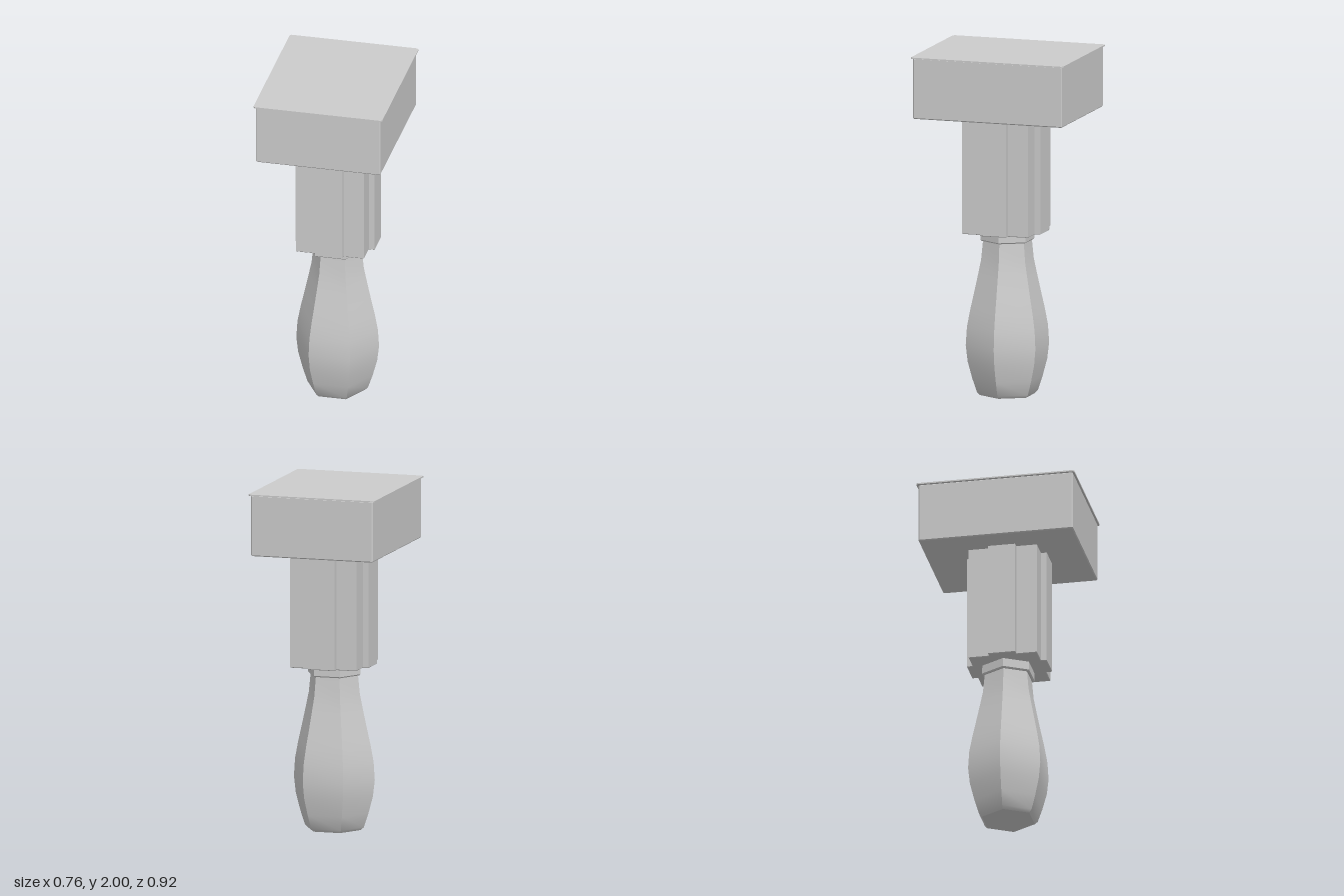
import * as THREE from 'three';
import { toCreasedNormals } from 'three/addons/utils/BufferGeometryUtils.js';

const material = new THREE.MeshStandardMaterial({ color: 0xcccccc });

function addPart(group, name, geometry, x = 0, y = 0, z = 0) {
  const mesh = new THREE.Mesh(geometry, material);
  mesh.name = name;
  mesh.position.set(x, y, z);
  group.add(mesh);
}

// Upright prism from y = 0 to height, with small chamfers at both ends
function prism(points, height, bevel) {
  const geometry = new THREE.ExtrudeGeometry(new THREE.Shape(points), {
    depth: height - 2 * bevel, bevelEnabled: bevel > 0, bevelSegments: 1,
    bevelSize: bevel, bevelThickness: bevel, bevelOffset: -bevel,
  });
  return geometry.translate(0, 0, bevel).rotateX(-Math.PI / 2);
}

// Rectangle with cut corners, given by half sizes
function cutRectangle(w, d, c) {
  return [
    [w, c - d], [w, d - c], [w - c, d], [c - w, d],
    [-w, d - c], [-w, c - d], [c - w, -d], [w - c, -d],
  ].map(([x, y]) => new THREE.Vector2(x, y));
}

// Square outline with a wide rib on each side
function ribbedSquare(half, ribHalf, outer) {
  const side = [[half, -half], [half, -ribHalf], [outer, -ribHalf], [outer, ribHalf], [half, ribHalf]];
  const points = [];
  for (let i = 0; i < 4; i++) {
    for (const [x, y] of side) {
      points.push(new THREE.Vector2(x, y).rotateAround(new THREE.Vector2(), i * Math.PI / 2));
    }
  }
  return points;
}

// Six-sided turned form with corners on the x axis
function hexLathe(profile) {
  const points = profile.map(([r, y]) => new THREE.Vector2(r, y));
  return toCreasedNormals(new THREE.LatheGeometry(points, 6, Math.PI / 2), 0.6);
}

export function createModel() {
  const group = new THREE.Group();
  group.name = 'hammer';

  // Head block with a thin flared lip on top
  addPart(group, 'head', prism(cutRectangle(0.367, 0.452, 0.006), 0.355, 0.006), 0, 1.64);
  addPart(group, 'headLip', prism(cutRectangle(0.38, 0.462, 0.01), 0.008, 0), 0, 1.992);

  // Ribbed neck block
  addPart(group, 'neck', prism(ribbedSquare(0.2, 0.08, 0.234), 0.7, 0.004), 0.014, 0.957, 0.006);

  // Collar under the neck
  addPart(group, 'collar', hexLathe([[0, 0.9], [0.152, 0.9], [0.159, 0.907], [0.157, 0.98], [0, 0.98]]), 0.01);

  // Swelling hexagonal grip
  addPart(group, 'grip', hexLathe([
    [0, 0], [0.16, 0], [0.178, 0.017], [0.206, 0.1], [0.233, 0.2], [0.244, 0.295],
    [0.237, 0.4], [0.218, 0.5], [0.195, 0.6], [0.173, 0.7], [0.154, 0.79], [0.141, 0.92], [0, 0.92],
  ]), 0.01);

  return group;
}
